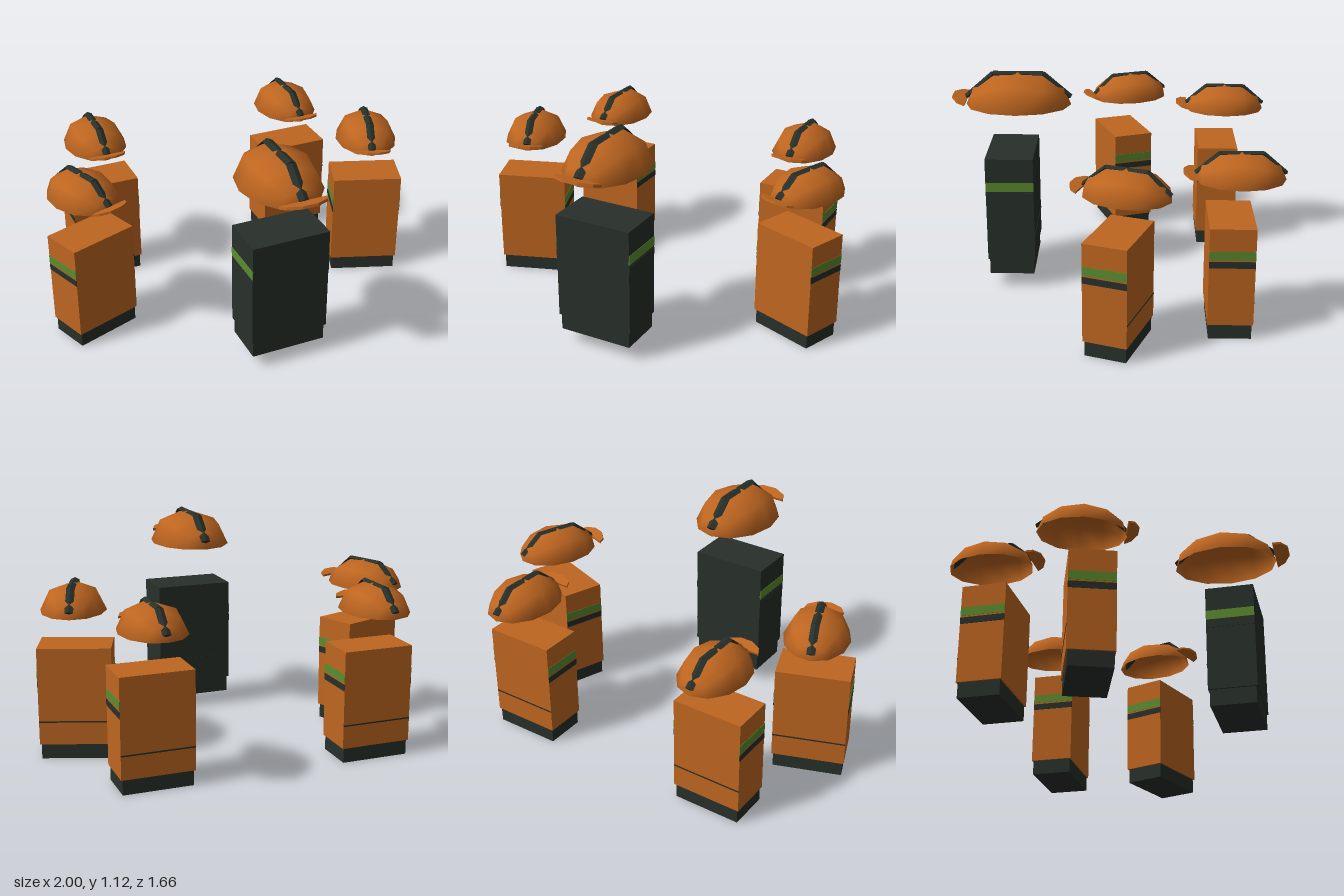
import * as THREE from 'three';

const mat = (color, side = THREE.FrontSide) => new THREE.MeshStandardMaterial({ color, side });
const orange = mat(0xbf6620), orangeShell = mat(0xbf6620, THREE.DoubleSide);
const dark = mat(0x28302a), green = mat(0x5c8c2e);

function add(parent, name, geometry, material, x = 0, y = 0, z = 0) {
  const mesh = new THREE.Mesh(geometry, material);
  mesh.name = name;
  mesh.position.set(x, y, z);
  parent.add(mesh);
  return mesh;
}

// Box standing on height y0
function block(parent, name, material, w, y0, y1, d, x = 0, z = 0) {
  return add(parent, name, new THREE.BoxGeometry(w, y1 - y0, d), material, x, (y0 + y1) / 2, z);
}

// Torso with a narrower foot, side bands and a seam on the back
function createBody(color) {
  const g = new THREE.Group();
  g.name = 'body';
  block(g, 'foot', dark, 0.39, 0, 0.085, 0.23);
  block(g, 'torso', color, 0.408, 0.085, 0.637, 0.245);
  for (const s of [-1, 1]) {
    block(g, 'greenBand', green, 0.004, 0.463, 0.512, 0.245, s * 0.204);
    block(g, 'darkBand', dark, 0.004, 0.417, 0.454, 0.245, s * 0.204);
  }
  block(g, 'backSeam', dark, 0.408, 0.213, 0.221, 0.004, 0, -0.1225);
  return g;
}

// Open half-ellipsoid dome, angular crest and upturned peak
function createHelmet() {
  const g = new THREE.Group();
  g.name = 'helmet';
  const dome = new THREE.SphereGeometry(1, 4, 6, 0, Math.PI);
  dome.rotateX(-Math.PI / 2);
  dome.scale(0.205, 0.175, 0.27);
  add(g, 'dome', dome, orangeShell);

  // Crest: three straight bars of diamond section that break through the dome
  const path = [[-0.268, 0.042], [-0.128, 0.163], [0.128, 0.163], [0.268, 0.042]];
  for (let i = 0; i < 3; i++) {
    const [z0, y0] = path[i], [z1, y1] = path[i + 1];
    const bar = new THREE.CylinderGeometry(1, 1, Math.hypot(z1 - z0, y1 - y0), 4).toNonIndexed();
    bar.scale(0.026, 1, 0.013);
    bar.computeVertexNormals();
    const mesh = add(g, 'crestBar', bar, dark, 0, (y0 + y1) / 2, (z0 + z1) / 2);
    mesh.rotation.x = Math.atan2(z1 - z0, y1 - y0);
  }

  // Peak outline, mirrored left to right
  const half = [[0.125, 0], [0.105, 0.042], [0.04, 0.075]];
  const outline = [...half, ...half.map(([x, y]) => [-x, y]).reverse()];
  const shape = new THREE.Shape(outline.map(([x, y]) => new THREE.Vector2(x, y)));
  const peak = new THREE.ExtrudeGeometry(shape, { depth: 0.014, bevelEnabled: false });
  peak.rotateX(Math.PI / 2 - 0.25);
  add(g, 'peak', peak, orange, 0, 0.038, 0.262);
  return g;
}

function createFigure(name, color, x, y, z, turn, bodyScale, helmetY, helmetScale) {
  const g = new THREE.Group();
  g.name = name;
  g.position.set(x, y, z);
  g.rotation.y = turn;
  const body = createBody(color);
  body.scale.setScalar(bodyScale);
  const helmet = createHelmet();
  helmet.scale.setScalar(helmetScale);
  helmet.position.set(0, helmetY, -0.04);
  g.add(body, helmet);
  return g;
}

export function createModel() {
  const model = new THREE.Group();
  model.name = 'squad';
  model.add(createFigure('leader', dark, 0, 0.075, 0.53, 0, 1, 0.87, 1));
  for (const s of [-1, 1]) {
    const side = s > 0 ? 'left' : 'right';
    model.add(createFigure(side + 'MiddleFigure', orange, s * 0.79, 0, -0.037, -s * 0.35, 0.9, 0.755, 0.8));
    model.add(createFigure(side + 'BackFigure', orange, s * 0.57, 0, -0.57, 0, 0.9, 0.755, 0.8));
  }
  return model;
}
